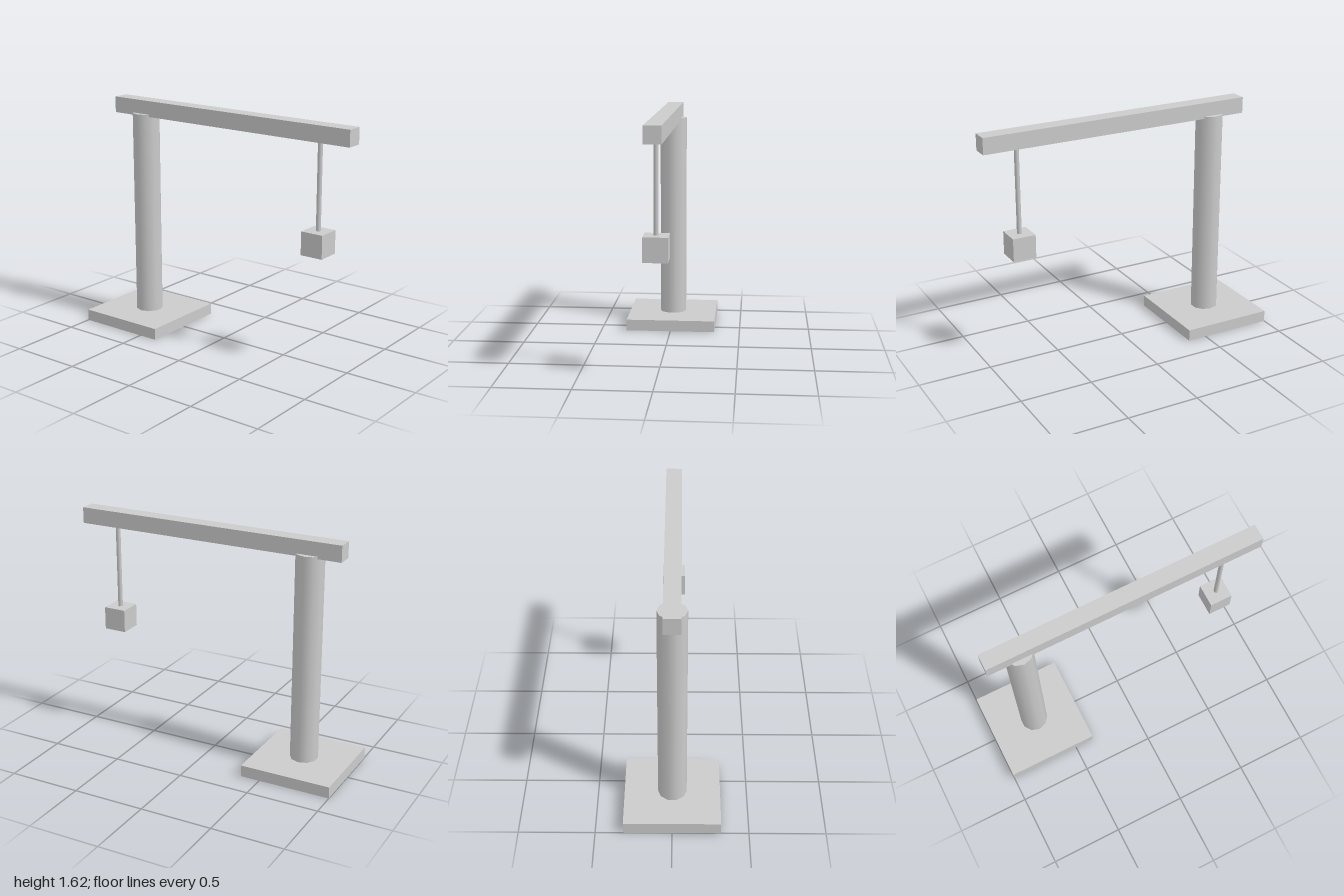
import * as THREE from 'three';

const material = new THREE.MeshStandardMaterial({ color: 0xcccccc });

function part(group, name, geometry, x, y, z = 0) {
  const mesh = new THREE.Mesh(geometry, material);
  mesh.name = name;
  mesh.position.set(x, y, z);
  group.add(mesh);
}

export function createModel() {
  const group = new THREE.Group();
  group.name = 'crane';

  // Square foot and the mast standing on it
  part(group, 'base', new THREE.BoxGeometry(0.636, 0.08, 0.636), -0.682, 0.04);
  part(group, 'mast', new THREE.CylinderGeometry(0.0955, 0.0955, 1.443, 10), -0.682, 0.8015);

  // Horizontal arm, sunk slightly over the mast top
  part(group, 'arm', new THREE.BoxGeometry(1.916, 0.111, 0.111), 0.042, 1.5625);

  // Hanging cable and its load
  part(group, 'cable', new THREE.CylinderGeometry(0.0159, 0.0159, 0.6, 6), 0.755, 1.215);
  part(group, 'load', new THREE.BoxGeometry(0.159, 0.159, 0.159), 0.755, 0.842);

  return group;
}
